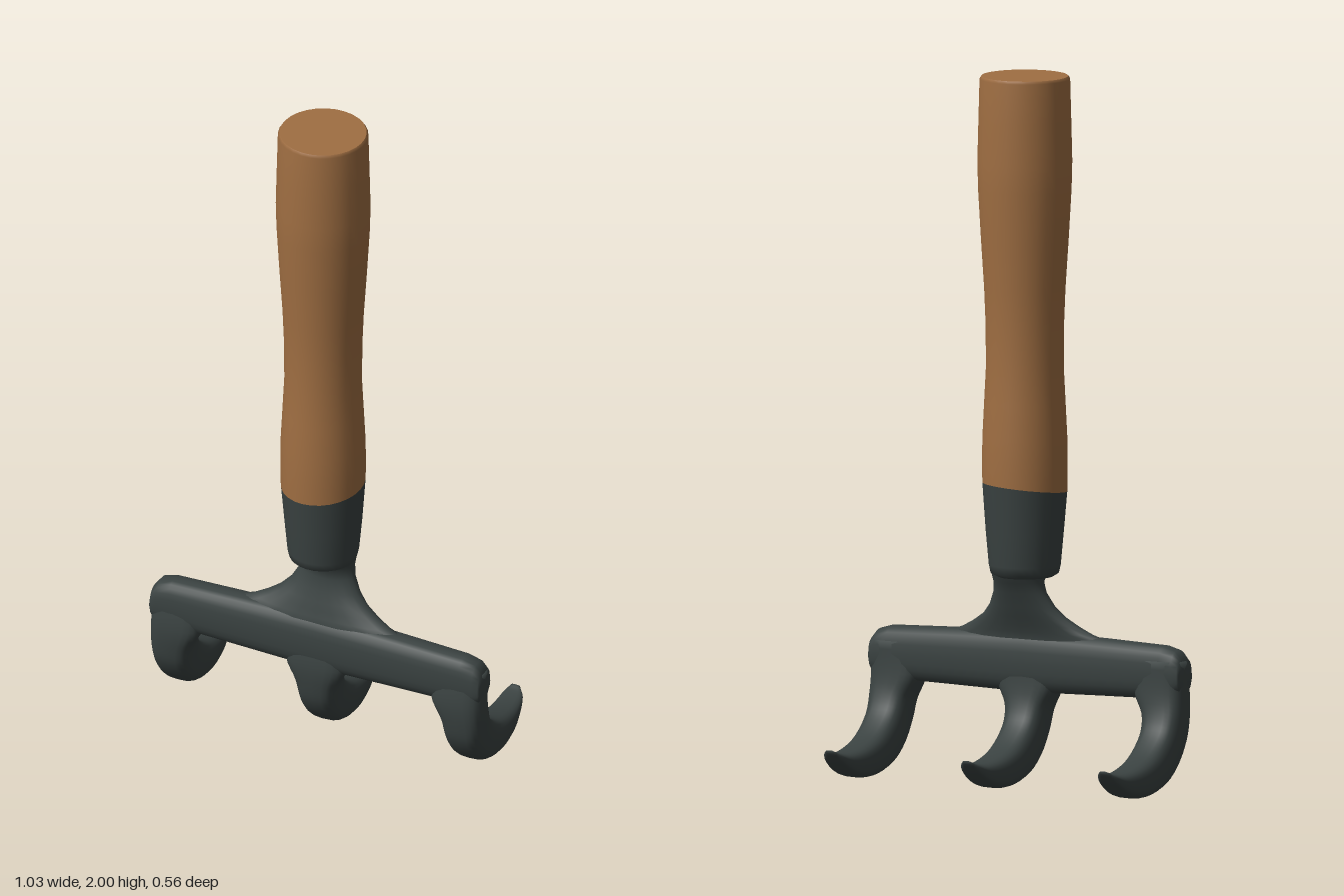
import * as THREE from 'three';

const wood = new THREE.MeshStandardMaterial({ color: 0x9f6e42 });
wood.name = 'wood';
const iron = new THREE.MeshStandardMaterial({ color: 0x3a4241 });
iron.name = 'dark iron';

const V = (x, y, z) => new THREE.Vector3(x, y, z);
const SIDES = 24;

// Rounded-square ring spanned by two half-axes (u x v points along the loft)
function ring(center, u, v, power = 3) {
  const round = (n) => Math.sign(n) * Math.abs(n) ** (2 / power);
  return Array.from({ length: SIDES }, (_, j) => {
    const a = (j / SIDES) * Math.PI * 2;
    return center.clone().addScaledVector(u, round(Math.cos(a))).addScaledVector(v, round(Math.sin(a)));
  });
}

// Closed skin through a list of rings
function loft(name, rings, material) {
  const points = rings.flat();
  const index = [];
  const last = rings.length - 1;
  for (let i = 0; i < last; i++) {
    for (let j = 0; j < SIDES; j++) {
      const k = (j + 1) % SIDES;
      const a = i * SIDES + j, b = i * SIDES + k;
      index.push(a, b, a + SIDES, b, b + SIDES, a + SIDES);
    }
  }
  // End caps
  const middle = (r) => r.reduce((s, p) => s.add(p), V(0, 0, 0)).divideScalar(SIDES);
  const c0 = points.push(middle(rings[0])) - 1;
  const c1 = points.push(middle(rings[last])) - 1;
  for (let j = 0; j < SIDES; j++) {
    const k = (j + 1) % SIDES;
    index.push(c0, k, j, c1, last * SIDES + j, last * SIDES + k);
  }
  const geometry = new THREE.BufferGeometry().setFromPoints(points);
  geometry.setIndex(index);
  geometry.computeVertexNormals();
  const mesh = new THREE.Mesh(geometry, material);
  mesh.name = name;
  return mesh;
}

// Turned part; vertices on the joint height follow a slightly slanted seam
const JOINT = 0.838;
function turned(name, profile, material) {
  const geometry = new THREE.LatheGeometry(profile.map(([r, y]) => new THREE.Vector2(r, y)), 28);
  const p = geometry.attributes.position;
  for (let i = 0; i < p.count; i++) {
    if (Math.abs(p.getY(i) - JOINT) < 1e-4) p.setY(i, JOINT + 0.08 * (p.getX(i) - p.getZ(i)));
  }
  const mesh = new THREE.Mesh(geometry, material);
  mesh.name = name;
  return mesh;
}

// Tine outlines as [z, y], and half widths from root to tip
const OUTER = [[0.035, 0.37], [0.053, 0.27], [0.049, 0.2], [0.035, 0.14], [-0.005, 0.077], [-0.07, 0.028],
  [-0.17, 0.004], [-0.26, 0.016], [-0.33, 0.058], [-0.36, 0.09]];
const INNER = [[-0.045, 0.37], [-0.05, 0.28], [-0.06, 0.225], [-0.08, 0.18], [-0.12, 0.14], [-0.17, 0.11],
  [-0.24, 0.09], [-0.3, 0.085], [-0.342, 0.092], [-0.362, 0.1]];
const HALF = [0.06, 0.061, 0.061, 0.059, 0.057, 0.055, 0.051, 0.043, 0.031, 0.014];
const FILLET = [0.03, 0.035, 0.006, 0, 0, 0, 0, 0, 0, 0];

function tine(name, x, filletLeft, filletRight) {
  const spline = (pts) => new THREE.CatmullRomCurve3(pts);
  const outer = spline(OUTER.map(([z, y]) => V(0, y, z)));
  const inner = spline(INNER.map(([z, y]) => V(0, y, z)));
  const width = spline(HALF.map((h, i) => {
    const drift = -0.015 * (i / 9) ** 2;
    return V(drift - h - filletRight * FILLET[i], drift + h + filletLeft * FILLET[i], i);
  }));
  const rings = [];
  for (let i = 0; i <= 36; i++) {
    const t = i / 36;
    const a = outer.getPoint(t), b = inner.getPoint(t), w = width.getPoint(t);
    const center = a.clone().add(b).multiplyScalar(0.5);
    center.x = x + (w.x + w.y) / 2;
    rings.push(ring(center, V((w.y - w.x) / 2, 0, 0), a.sub(b).multiplyScalar(0.5)));
  }
  return loft(name, rings, iron);
}

export function createModel() {
  const model = new THREE.Group();
  model.name = 'handCultivator';

  // Grip and ferrule share one axis
  const shaft = new THREE.Group();
  shaft.name = 'shaft';
  shaft.position.set(0, 0, 0.097);
  shaft.add(turned('woodenGrip', [[0.119, JOINT], [0.12, 0.9], [0.119, 0.98], [0.114, 1.08], [0.109, 1.18],
    [0.11, 1.3], [0.114, 1.4], [0.123, 1.54], [0.131, 1.68], [0.133, 1.76], [0.13, 1.88], [0.127, 1.992],
    [0.122, 2], [0.122, 2], [0, 2]], wood));
  shaft.add(turned('ferrule', [[0, 0.585], [0.08, 0.587], [0.096, 0.597], [0.101, 0.62], [0.11, 0.72],
    [0.119, JOINT]], iron));
  model.add(shaft);

  // Fork head, turned a little about the shaft
  const head = new THREE.Group();
  head.name = 'forkHead';
  head.position.set(0, 0.002, 0.141);
  head.rotation.set(0, -0.157, -0.01);
  model.add(head);

  // Crossbar: x, bottom, top, half depth
  const bar = [[-0.512, 0.3, 0.35, 0.036], [-0.508, 0.28, 0.378, 0.041], [-0.49, 0.268, 0.4, 0.044],
    [-0.45, 0.26, 0.411, 0.046], [-0.25, 0.256, 0.418, 0.049], [0, 0.25, 0.425, 0.051]];
  const mirrored = bar.slice(0, -1).reverse().map(([x, ...rest]) => [-x, ...rest]);
  head.add(loft('crossbar', [...bar, ...mirrored].map(([x, lo, hi, d]) =>
    ring(V(x, (lo + hi) / 2, 0), V(0, (hi - lo) / 2, 0), V(0, 0, d), 2.6)), iron));

  // Neck: y, centre z, half width, half depth
  const neck = [[0.61, -0.05, 0.085, 0.08], [0.59, -0.052, 0.08, 0.07], [0.57, -0.055, 0.077, 0.055],
    [0.54, -0.048, 0.083, 0.046], [0.5, -0.036, 0.105, 0.043], [0.47, -0.024, 0.135, 0.041],
    [0.445, -0.015, 0.175, 0.039], [0.425, -0.008, 0.215, 0.038], [0.4, 0, 0.29, 0.038], [0.36, 0, 0.32, 0.04]];
  head.add(loft('neck', neck.map(([y, z, w, d]) => ring(V(0, y, z), V(w, 0, 0), V(0, 0, d), 2)), iron));

  // Three hooked tines
  head.add(tine('rightTine', -0.452, 1, 0), tine('middleTine', 0, 1, 1), tine('leftTine', 0.452, 0, 1));
  return model;
}
